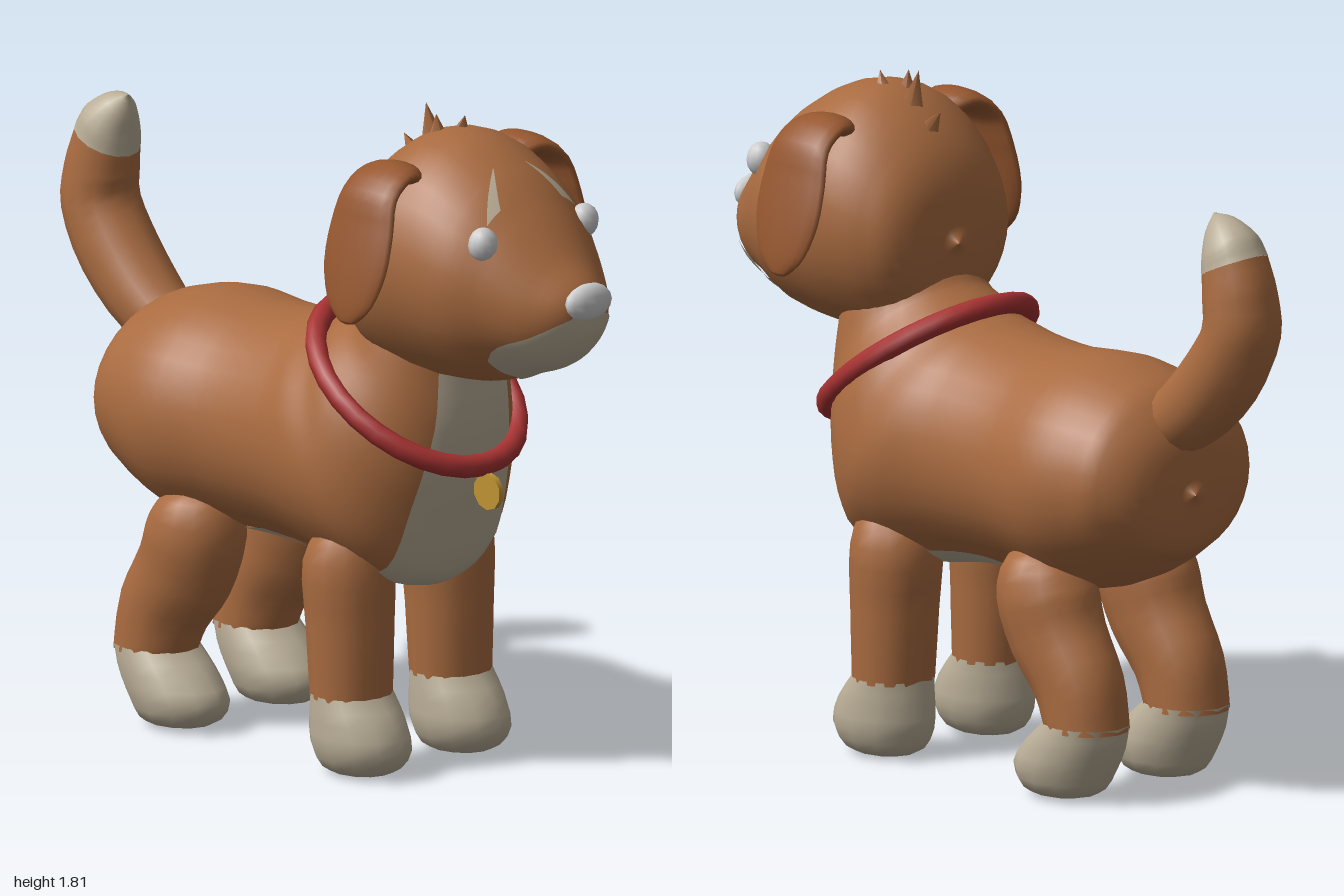
import * as THREE from 'three';
import { ParametricGeometry } from 'three/addons/geometries/ParametricGeometry.js';

const mat = (color) => new THREE.MeshStandardMaterial({ color });
const brown = mat(0xa96b40), cream = mat(0xb9ad96), red = mat(0xa83232);
const gold = mat(0xc09434), grey = mat(0xcccccc), earBrown = mat(0x96572f);

// Smooth surface through elliptical rings [x, y, halfHeight, halfWidth, axisAngle].
// Angle th is measured from the upper side; ring index i runs along the part.
function surface(rings, z = 0) {
  const pos = new THREE.CatmullRomCurve3(rings.map(r => new THREE.Vector3(r[0], r[1], r[4] || 0)), false, 'catmullrom');
  const size = new THREE.CatmullRomCurve3(rings.map(r => new THREE.Vector3(r[2], r[3], 0)), false, 'catmullrom');
  const n = rings.length - 1;
  const at = (i, th, target, off = 0) => {
    const t = Math.min(1, Math.max(0, i / n)), c = pos.getPoint(t), s = size.getPoint(t);
    const h = (Math.max(s.x, 0.001) + off) * Math.cos(th), w = (Math.max(s.y, 0.001) + off) * Math.sin(th);
    return target.set(c.x - Math.sin(c.z) * h, c.y + Math.cos(c.z) * h, z - w);
  };
  return { n, at };
}

function mesh(parent, name, geometry, material) {
  const m = new THREE.Mesh(geometry, material);
  m.name = name;
  parent.add(m);
  return m;
}

function loft(parent, name, rings, material, z = 0, sides = 20, steps = 3) {
  const s = surface(rings, z);
  mesh(parent, name, new ParametricGeometry((u, v, p) => s.at(u * s.n, v * Math.PI * 2, p), s.n * steps, sides), material);
  return s;
}

// Coloured marking lying just over a surface, between ring indices i0 and i1
function marking(parent, name, s, i0, i1, range, material, slices, stacks) {
  mesh(parent, name, new ParametricGeometry((u, v, p) => {
    const [lo, hi] = range(u);
    return s.at(i0 + (i1 - i0) * u, lo + (hi - lo) * v, p, 0.006);
  }, slices, stacks), material);
}

function ball(parent, name, x, y, z, sx, sy, sz, material) {
  const m = mesh(parent, name, new THREE.SphereGeometry(1, 12, 8), material);
  m.position.set(x, y, z);
  m.scale.set(sx, sy, sz);
  return m;
}

export function createModel() {
  const dog = new THREE.Group();
  dog.name = 'puppy';

  // Torso bending up into the neck
  const body = loft(dog, 'body', [
    [-0.72, 0.84, 0, 0, 0], [-0.7, 0.85, 0.15, 0.18, 0], [-0.63, 0.87, 0.23, 0.28, 0],
    [-0.54, 0.865, 0.28, 0.315, 0], [-0.4, 0.855, 0.315, 0.34, 0], [-0.2, 0.855, 0.305, 0.312, 0],
    [0, 0.86, 0.318, 0.315, 0.08], [0.16, 0.85, 0.36, 0.34, 0.33], [0.26, 0.87, 0.375, 0.33, 0.44],
    [0.315, 0.975, 0.315, 0.3, 0.63], [0.365, 1.105, 0.24, 0.235, 0.87],
    [0.38, 1.22, 0.18, 0.2, 1.13], [0.42, 1.33, 0.14, 0.15, 1.3],
  ], brown, 0, 32, 4);
  marking(dog, 'chestPatch', body, 4, 12, (u) => {
    const a = 0.6 * Math.min(1, 0.1 + u * 5);
    return [Math.PI - a, Math.PI + a];
  }, cream, 32, 10);

  // Head tapering to the muzzle
  const head = loft(dog, 'head', [
    [0.19, 1.37, 0, 0], [0.22, 1.385, 0.17, 0.19], [0.3, 1.4, 0.28, 0.27], [0.42, 1.43, 0.33, 0.31],
    [0.55, 1.43, 0.328, 0.3], [0.68, 1.405, 0.285, 0.275], [0.78, 1.38, 0.22, 0.22],
    [0.88, 1.345, 0.145, 0.155], [0.95, 1.35, 0.07, 0.08], [0.97, 1.36, 0, 0],
  ], brown, 0, 32, 4);
  marking(dog, 'muzzlePatch', head, 5.5, 9, (u) => {
    const a = Math.max(0.1, 1.5 * Math.pow(u, 0.25));
    return [Math.PI - a, Math.PI + a];
  }, cream, 14, 20);
  ball(dog, 'nose', 0.965, 1.385, 0, 0.035, 0.05, 0.08, grey);

  // Tuft of hair on the crown
  for (const [x, z, lean, len] of [[0.36, 0, 0.25, 0.12], [0.42, 0.03, 0.1, 0.09], [0.46, -0.02, -0.3, 0.09], [0.29, 0, 0.7, 0.09]]) {
    const tuft = mesh(dog, 'hairTuft', new THREE.ConeGeometry(0.04, len, 5), brown);
    tuft.position.set(x, x < 0.3 ? 1.68 : 1.755, z);
    tuft.rotation.z = lean;
  }

  for (const side of [1, -1]) {
    const label = side > 0 ? 'left' : 'right';

    // Eyes and brow markings
    ball(dog, label + 'Eye', 0.755, 1.535, side * 0.185, 0.038, 0.046, 0.042, grey);
    marking(dog, label + 'Brow', head, 4.85, 5.65, (u) => {
      const lo = 0.2 + 0.27 * u, hi = 0.21 + 0.5 * u;
      return side > 0 ? [-hi, -lo] : [lo, hi];
    }, cream, 6, 4);

    // Drooping ear, lofted sideways then turned to face outward
    const ear = new THREE.Group();
    ear.name = label + 'EarGroup';
    loft(ear, label + 'Ear', [
      [0.15, 1.66, 0, 0, 0.3], [0.19, 1.675, 0.03, 0.07, 0.3], [0.25, 1.685, 0.028, 0.09, -0.1],
      [0.315, 1.64, 0.028, 0.1, -0.95], [0.345, 1.55, 0.026, 0.117, -1.3], [0.37, 1.45, 0.025, 0.117, -1.3],
      [0.39, 1.36, 0.02, 0.085, -1.35], [0.4, 1.31, 0.012, 0.035, -1.35], [0.402, 1.3, 0, 0, -1.35],
    ], earBrown, -0.46, 16).n;
    ear.children[0].rotation.y = -Math.PI / 2;
    ear.scale.z = side;
    dog.add(ear);

    // Straight front leg and paw
    const d = -Math.PI / 2;
    loft(dog, label + 'FrontLeg', [
      [0.26, 0.74, 0, 0, d], [0.255, 0.69, 0.07, 0.07, d], [0.24, 0.58, 0.122, 0.122, d],
      [0.245, 0.4, 0.118, 0.118, d], [0.25, 0.21, 0.108, 0.112, d],
    ], brown, side * 0.182, 14);
    loft(dog, label + 'FrontPaw', [
      [0.25, 0.22, 0.109, 0.113, d], [0.275, 0.15, 0.142, 0.12, d], [0.288, 0.08, 0.152, 0.12, d],
      [0.285, 0.025, 0.12, 0.095, d], [0.28, 0.005, 0.06, 0.05, d], [0.28, 0.005, 0, 0, d],
    ], cream, side * 0.182, 12, 2);

    // Bent hind leg and paw
    loft(dog, label + 'HindLeg', [
      [-0.33, 0.7, 0, 0, d], [-0.33, 0.64, 0.1, 0.1, d], [-0.34, 0.55, 0.142, 0.13, d - 0.2],
      [-0.385, 0.43, 0.142, 0.122, d - 0.45], [-0.465, 0.31, 0.132, 0.112, d - 0.35], [-0.495, 0.2, 0.118, 0.11, d],
    ], brown, side * 0.182, 14);
    loft(dog, label + 'HindPaw', [
      [-0.495, 0.215, 0.119, 0.112, d], [-0.45, 0.15, 0.15, 0.12, d], [-0.41, 0.085, 0.157, 0.12, d],
      [-0.405, 0.03, 0.125, 0.1, d], [-0.41, 0.01, 0.07, 0.06, d], [-0.41, 0.01, 0, 0, d],
    ], cream, side * 0.182, 12, 2);
  }

  // Upturned tail with a pale tip
  loft(dog, 'tail', [
    [-0.55, 0.99, 0.07, 0.07, 2.6], [-0.69, 1.055, 0.1, 0.1, 2.5], [-0.82, 1.18, 0.11, 0.11, 2.2],
    [-0.895, 1.31, 0.105, 0.108, 1.8], [-0.89, 1.41, 0.102, 0.1, 1.45], [-0.87, 1.49, 0.093, 0.09, 1.15],
  ], brown, 0, 14);
  loft(dog, 'tailTip', [
    [-0.87, 1.49, 0.094, 0.091, 1.15], [-0.85, 1.54, 0.08, 0.08, 1.0],
    [-0.815, 1.59, 0.045, 0.045, 0.9], [-0.79, 1.62, 0, 0, 0.9],
  ], cream, 0, 14);

  // Tilted collar with a hanging tag
  const ring = new THREE.TorusGeometry(0.3, 0.03, 8, 28);
  ring.rotateX(Math.PI / 2).scale(1.04, 1, 0.93).rotateZ(-0.62);
  mesh(dog, 'collar', ring, red).position.set(0.31, 1.045, 0);
  const tag = mesh(dog, 'tag', new THREE.CylinderGeometry(0.05, 0.05, 0.016, 10), gold);
  tag.rotation.x = Math.PI / 2;
  tag.position.set(0.585, 0.795, 0);

  return dog;
}
